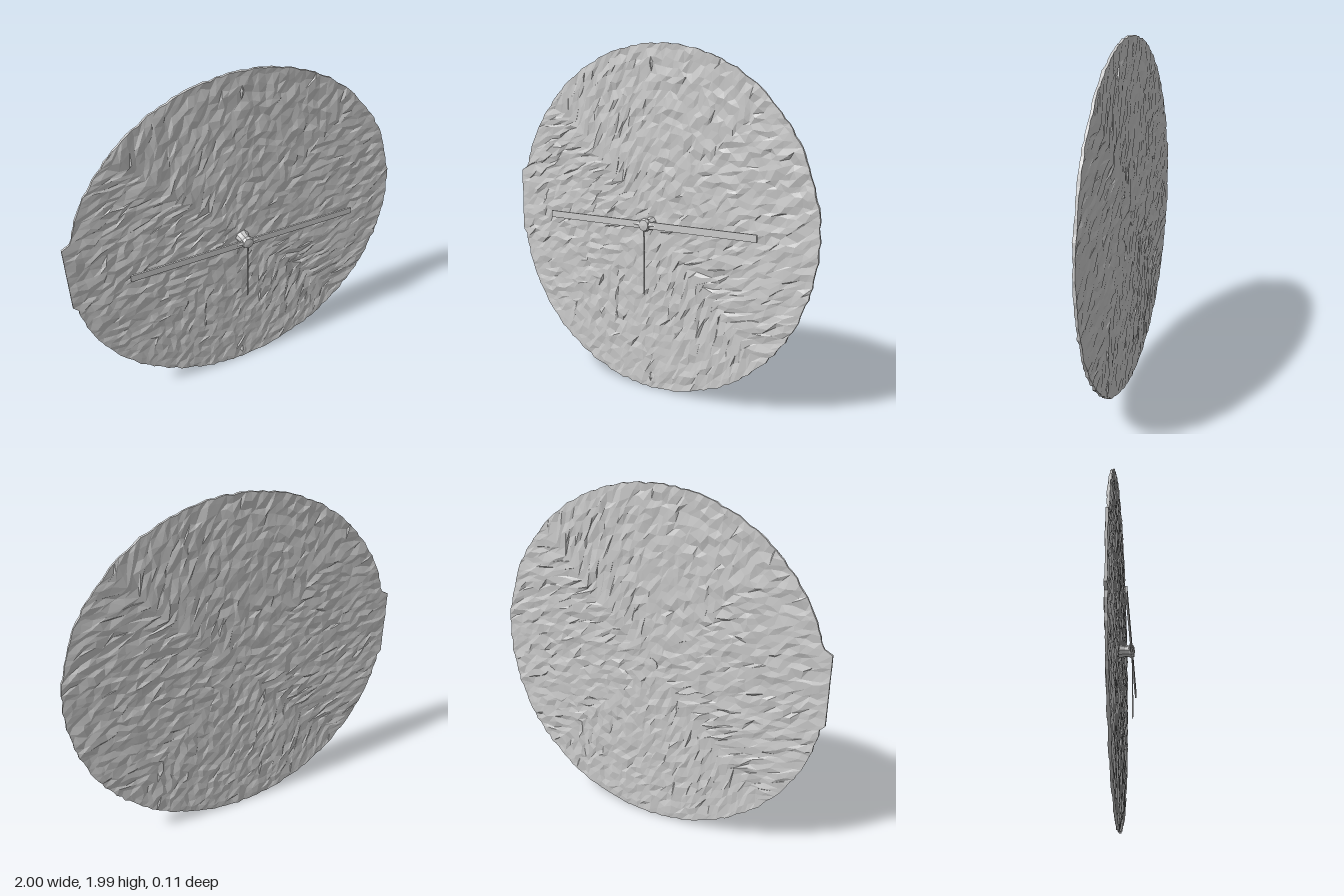
import * as THREE from 'three';

const material = new THREE.MeshStandardMaterial({ color: 0xcccccc, flatShading: true });

// Repeatable noise in -1..1, the same for coincident points so seams stay closed
function noise(x, y, z, seed) {
  const s = Math.sin(Math.round(x * 500) * 12.9898 + Math.round(y * 500) * 78.233 + Math.round(z * 500) * 37.719 + seed * 91.7) * 43758.5453;
  return (s - Math.floor(s)) * 2 - 1;
}

function addPart(group, name, geometry, x, y, z) {
  const mesh = new THREE.Mesh(geometry, material);
  mesh.name = name;
  mesh.position.set(x, y, z);
  group.add(mesh);
  return mesh;
}

// Thin disc with rough chipped faces: a square slab wrapped to a circle
function roughDisc() {
  const geometry = new THREE.BoxGeometry(2, 2, 0.014, 46, 46, 1);
  const p = geometry.attributes.position;
  for (let i = 0; i < p.count; i++) {
    const a = p.getX(i), b = p.getY(i), c = p.getZ(i);
    const r = Math.max(Math.abs(a), Math.abs(b));
    let angle = 0;
    if (r > 1e-6) {
      angle = Math.abs(a) >= Math.abs(b)
        ? (Math.PI / 4) * (b / a) + (a < 0 ? Math.PI : 0)
        : Math.PI / 2 - (Math.PI / 4) * (a / b) + (b < 0 ? Math.PI : 0);
    }
    let x = r * Math.cos(angle), y = r * Math.sin(angle);
    const onRim = r > 0.999;
    if (onRim) {
      // Slightly uneven edge, with one straight bulge on the side
      const bulge = x < 0 && y > -0.16 && y < 0.24;
      const rim = bulge ? 1.03 : 0.992 + 0.006 * noise(a, b, 0, 4);
      x *= rim;
      y *= rim;
    } else {
      x += 0.014 * noise(a, b, c, 1);
      y += 0.014 * noise(a, b, c, 2);
    }
    const z = c + (onRim ? 0.003 : 0.006) * noise(a, b, c, 3);
    p.setXYZ(i, Math.max(-1, Math.min(0.997, x)), Math.max(-0.995, Math.min(1, y)), z);
  }
  geometry.computeVertexNormals();
  return geometry;
}

export function createModel() {
  const group = new THREE.Group();

  addPart(group, 'face', roughDisc(), 0, 1, -0.036);

  // Worn hour marks standing slightly proud of the face
  [[0, 1.89, 0.1], [0, 0.07, 0.07]].forEach(([x, y, length]) => {
    const mark = addPart(group, 'hourMark', new THREE.OctahedronGeometry(1), x, y, -0.03);
    mark.scale.set(0.014, length / 2, 0.012);
  });

  // Waisted centre post
  const profile = [[0, -0.05], [0.042, -0.045], [0.038, -0.025], [0.031, 0], [0.034, 0.022], [0.04, 0.034], [0.032, 0.05], [0, 0.055]]
    .map(([r, h]) => new THREE.Vector2(r, h));
  const hub = addPart(group, 'hub', new THREE.LatheGeometry(profile, 9), 0, 0.995, 0);
  hub.rotation.x = Math.PI / 2;

  // Long horizontal hand and its flared roots beside the hub
  addPart(group, 'longHand', new THREE.BoxGeometry(1.38, 0.04, 0.01), 0, 0.997, 0.037);
  for (const side of [-1, 1]) {
    const root = addPart(group, 'handRoot', new THREE.CylinderGeometry(0.006, 0.015, 0.07, 6), side * 0.06, 0.997, 0.034);
    root.rotation.z = -side * Math.PI / 2;
  }

  // Thin hanging hand, narrowing upward and downward from its middle
  const handProfile = [[0, -0.2], [0.005, -0.185], [0.006, -0.1], [0.004, 0.06], [0.007, 0.2], [0, 0.2]]
    .map(([r, h]) => new THREE.Vector2(r, h));
  const shortHand = addPart(group, 'shortHand', new THREE.LatheGeometry(handProfile, 5), 0, 0.79, 0.04);
  shortHand.scale.z = 0.7;

  return group;
}
